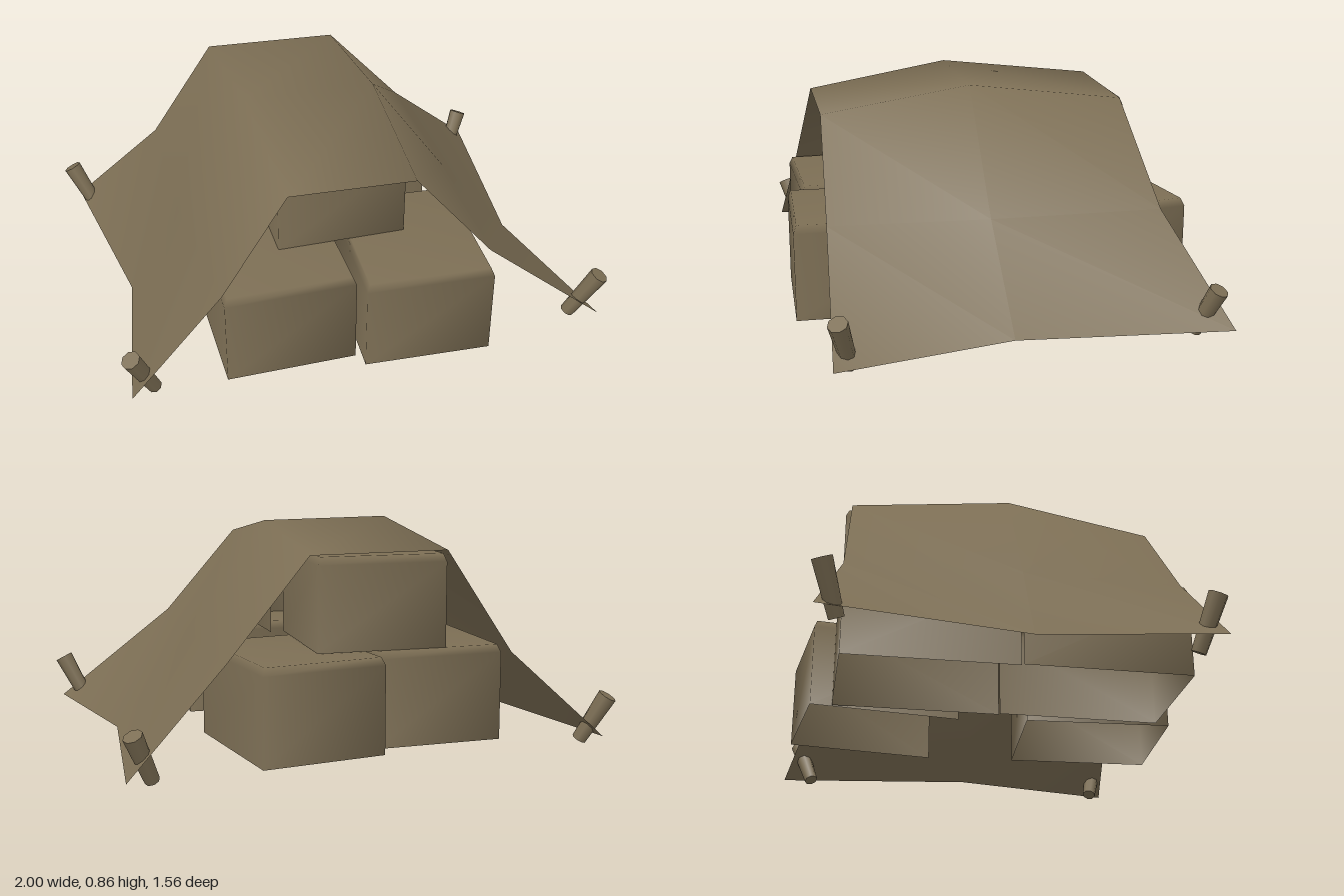
import * as THREE from 'three';

const canvas = new THREE.MeshStandardMaterial({ color: 0x7c6e54, side: THREE.DoubleSide });
canvas.name = 'drab canvas';

// Skin a list of equal-length point rows; closed wraps each row round
function skin(rows, closed, cap) {
  const n = rows[0].length;
  const index = [];
  for (let r = 0; r < rows.length - 1; r++) {
    for (let i = 0; i < (closed ? n : n - 1); i++) {
      const j = (i + 1) % n;
      const a = r * n + i, b = r * n + j, c = a + n, d = b + n;
      index.push(a, b, d, a, d, c);
    }
  }
  if (cap) {
    const base = (rows.length - 1) * n;
    for (let i = 1; i < n - 1; i++) index.push(base, base + i, base + i + 1);
  }
  const geo = new THREE.BufferGeometry();
  geo.setAttribute('position', new THREE.Float32BufferAttribute(rows.flat(2), 3));
  geo.setIndex(index);
  geo.computeVertexNormals();
  return geo;
}

// Softly shaded crate, open underneath and, unless closed, on its +z side
function crateGeometry(w, h, d, closed) {
  const ring = (y, inset) => {
    const x = w / 2 - inset, z = d / 2 - inset;
    return [[x, y, z], [x, y, -z], [-x, y, -z], [-x, y, z]];
  };
  return skin([ring(0, 0), ring(h - 0.03, 0), ring(h, 0.012)], closed, true);
}

function addMesh(group, name, geometry) {
  const mesh = new THREE.Mesh(geometry, canvas);
  mesh.name = name;
  group.add(mesh);
  return mesh;
}

export function createModel() {
  const model = new THREE.Group();
  model.name = 'coveredCrates';

  // Crates: name, width, height, depth, x, y, z, turn, closed (touching sides are left open)
  const crates = [
    ['frontRightCrate', 0.5, 0.37, 0.64, -0.295, 0.05, 0.385, Math.PI + 0.02, false],
    ['frontLeftCrate', 0.49, 0.37, 0.58, 0.24, 0.05, 0.48, -0.04, true],
    ['backRightCrate', 0.5, 0.37, 0.66, -0.295, 0.05, -0.27, 0.01, false],
    ['backLeftCrate', 0.485, 0.365, 0.6, 0.235, 0.05, -0.425, 0.14, false],
    ['topFrontCrate', 0.5, 0.36, 0.52, -0.03, 0.42, 0.19, Math.PI + 0.01, false],
    ['topBackCrate', 0.5, 0.355, 0.52, -0.08, 0.42, -0.325, -0.03, false],
  ];
  for (const [name, w, h, d, x, y, z, turn, closed] of crates) {
    const crate = addMesh(model, name, crateGeometry(w, h, d, closed));
    crate.position.set(x, y, z);
    crate.rotation.y = turn;
  }

  // Tarpaulin: front, middle and back cross-sections
  addMesh(model, 'tarpaulin', skin([
    [[-0.9, 0.055, 0.73], [-0.54, 0.42, 0.68], [-0.28, 0.775, 0.63],
      [0.2, 0.77, 0.64], [0.5, 0.42, 0.66], [0.97, 0.05, 0.7]],
    [[-0.81, 0.05, 0.06], [-0.6, 0.4, 0.06], [-0.31, 0.865, 0.06],
      [0.205, 0.86, 0.06], [0.53, 0.415, 0.05], [0.83, 0.05, 0.03]],
    [[-0.94, 0.055, -0.7], [-0.59, 0.39, -0.6], [-0.335, 0.785, -0.57],
      [0.2, 0.78, -0.555], [0.53, 0.41, -0.62], [0.92, 0.05, -0.78]],
  ], false, false));

  // Corner pegs: name, head, tip
  const pegs = [
    ['frontRightPeg', [-0.89, 0.215, 0.7], [-0.805, 0.02, 0.64]],
    ['frontLeftPeg', [0.965, 0.225, 0.68], [0.87, 0.03, 0.63]],
    ['backRightPeg', [-0.965, 0.21, -0.68], [-0.88, 0.03, -0.62]],
    ['backLeftPeg', [0.885, 0.2, -0.72], [0.81, 0.02, -0.66]],
  ];
  const up = new THREE.Vector3(0, 1, 0);
  for (const [name, head, tip] of pegs) {
    const a = new THREE.Vector3(...head), b = new THREE.Vector3(...tip);
    const axis = a.clone().sub(b);
    const peg = addMesh(model, name, new THREE.CylinderGeometry(0.037, 0.028, axis.length(), 8));
    peg.position.copy(a).add(b).multiplyScalar(0.5);
    peg.quaternion.setFromUnitVectors(up, axis.normalize());
  }
  return model;
}
